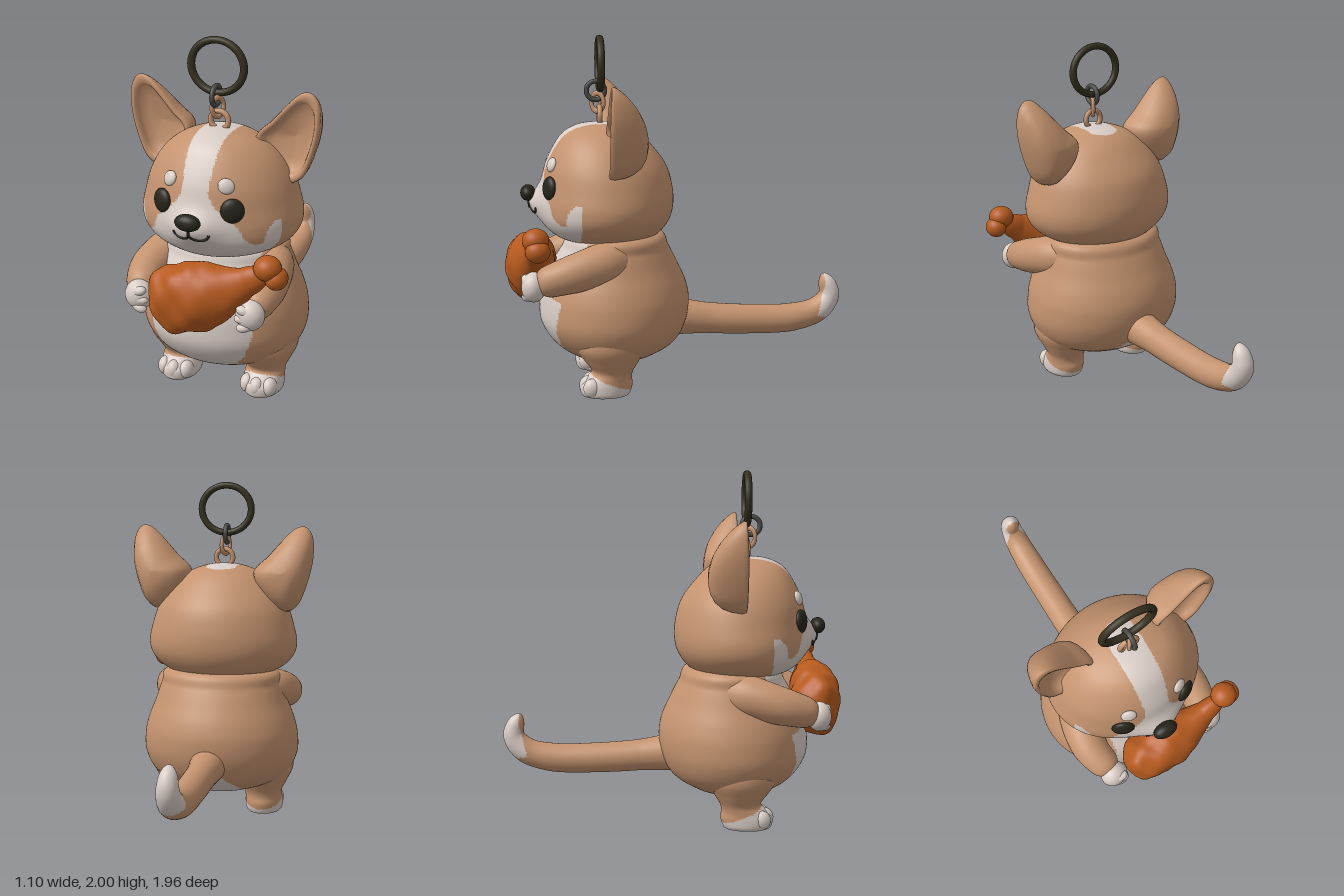
import * as THREE from 'three';

const mat = (name, color) => {
  const m = new THREE.MeshStandardMaterial({ color });
  m.name = name;
  return m;
};
const V = (x, y, z) => new THREE.Vector3(x, y, z);

// Piecewise linear lookup in [[x, y], ...]
function lerpTable(table, x) {
  for (let i = 1; i < table.length; i++) {
    const [x0, y0] = table[i - 1], [x1, y1] = table[i];
    if (x <= x1) return y0 + (y1 - y0) * Math.max(0, (x - x0) / (x1 - x0));
  }
  return table[table.length - 1][1];
}

// Smooth skin over closed rings; pick(centre) chooses the material of each face
function skin(name, rings, materials, pick = () => 0) {
  const n = rings[0].length, pts = rings.flat();
  const lists = materials.map(() => []);
  const face = (a, b, c) => {
    const mid = pts[a].clone().add(pts[b]).add(pts[c]).divideScalar(3);
    lists[pick(mid)].push(a, b, c);
  };
  for (let i = 0; i < rings.length - 1; i++) {
    for (let j = 0; j < n; j++) {
      const k = (j + 1) % n;
      const a = i * n + j, b = a + n, c = (i + 1) * n + k, d = i * n + k;
      face(a, b, c);
      face(a, c, d);
    }
  }
  const geo = new THREE.BufferGeometry().setFromPoints(pts);
  geo.setIndex(lists.flat());
  let start = 0;
  lists.forEach((l, i) => { geo.addGroup(start, l.length, i); start += l.length; });
  geo.computeVertexNormals();
  const mesh = new THREE.Mesh(geo, materials);
  mesh.name = name;
  return mesh;
}

// Upright rings from rows of [y, halfWidth, zBack, zFront], lowest first
function uprightRings(rows, cx, steps, sides) {
  const back = new THREE.CatmullRomCurve3(rows.map(r => V(r[1], r[0], r[2])), false, 'catmullrom');
  const front = new THREE.CatmullRomCurve3(rows.map(r => V(r[1], r[0], r[3])), false, 'catmullrom');
  return Array.from({ length: steps + 1 }, (_, i) => {
    const p = back.getPoint(i / steps), q = front.getPoint(i / steps);
    const c = (p.z + q.z) / 2, d = (q.z - p.z) / 2;
    return Array.from({ length: sides }, (_, j) => {
      const a = j / sides * Math.PI * 2;
      return V(cx + p.x * Math.cos(a), p.y, c + d * Math.sin(a));
    });
  });
}

// Rounded limb rings along a curve; radii are [t, r], cap is the rounded end length
function limbRings(points, radii, cap, steps, sides, squashZ = 1, bump = () => 1) {
  const curve = new THREE.CatmullRomCurve3(points);
  const frames = curve.computeFrenetFrames(400);
  return Array.from({ length: steps + 1 }, (_, i) => {
    const t = (1 - Math.cos(Math.PI * i / steps)) / 2;
    const f = Math.round(t * 400), c = curve.getPointAt(t);
    const e = Math.max(0, 1 - Math.min(t, 1 - t) / cap);
    const r = lerpTable(radii, t) * Math.sqrt(Math.max(0, 1 - e * e));
    return Array.from({ length: sides }, (_, j) => {
      const a = j / sides * Math.PI * 2;
      const o = frames.normals[f].clone().multiplyScalar(Math.cos(a))
        .addScaledVector(frames.binormals[f], -Math.sin(a)).multiplyScalar(r * bump(t, a));
      o.z *= squashZ;
      return o.add(c);
    });
  });
}

// Forward swell of the muzzle
const muzzle = (x, y) => .06 * Math.exp(-((x / .14) ** 2) - ((y - 1.07) / .085) ** 2);

export function createModel() {
  const group = new THREE.Group();
  const tan = mat('tan fur', 0xc4936f), white = mat('white fur', 0xd9cdc6);
  const dark = mat('dark features', 0x26241a), roast = mat('roast meat', 0xb65a1e);
  const steel = mat('grey steel', 0x4b4a46), ringMat = mat('dark ring', 0x35301f);
  const sole = mat('sole', 0x2c2c2c);
  const add = m => { group.add(m); return m; };
  const ball = (name, m, pos, size, rot = [0, 0, 0]) => {
    const b = add(new THREE.Mesh(new THREE.SphereGeometry(1, 24, 16), m));
    b.name = name;
    b.position.set(...pos);
    b.scale.set(...size);
    b.rotation.set(...rot);
  };
  const torus = (name, m, pos, R, r, rotY = 0, sy = 1) => {
    const t = add(new THREE.Mesh(new THREE.TorusGeometry(R, r, 12, 48), m));
    t.name = name;
    t.position.set(...pos);
    t.rotation.y = rotY;
    t.scale.y = sy;
  };

  // Head with blaze, muzzle and cheek markings
  const headRows = [[.83, 0, .4, .4], [.85, .23, .17, .62], [.9, .36, .09, .72], [.97, .43, .04, .77],
    [1.05, .45, .02, .78], [1.15, .43, .025, .77], [1.27, .39, .06, .75], [1.38, .32, .14, .7],
    [1.46, .225, .22, .64], [1.505, .11, .31, .55], [1.52, 0, .43, .43]];
  const cheek = [[0, 1.3], [.07, 1.26], [.1, 1.2], [.17, 1.13], [.235, 1.08], [.26, 1.01], [.3, .975],
    [.335, .98], [.36, 1.06], [.385, 1.1], [.42, 1.1], [.45, .98]];
  const headRings = uprightRings(headRows, 0, 120, 160);
  headRings.flat().forEach(p => { if (p.z > .45) p.z += muzzle(p.x, p.y); });
  add(skin('head', headRings, [tan, white], p => {
    const x = Math.abs(p.x);
    const blaze = p.y > 1.2 && p.z > .27 + 6 * x * x && x < .068 + .02 * Math.max(0, p.y - 1.2) / .3;
    return blaze || (p.z > .56 && p.y < lerpTable(cheek, x)) ? 1 : 0;
  }));

  // Body with white chest, belly and rump patch
  const bodyRows = [[.15, 0, .32, .32], [.155, .15, .2, .5], [.195, .3, .11, .62], [.27, .41, 0, .72],
    [.38, .465, -.055, .785], [.5, .465, -.07, .79], [.6, .44, -.05, .77], [.7, .4, -.005, .72],
    [.8, .365, .045, .66], [.89, .32, .1, .6], [.95, 0, .35, .35]];
  const belly = [[.19, 0], [.2, .1], [.25, .19], [.32, .25], [.42, .29], [.54, .31], [.555, .22], [.7, .22], [.85, .28]];
  add(skin('body', uprightRings(bodyRows, 0, 110, 150), [tan, white], p => {
    const chest = p.z > .42 && Math.abs(p.x) < lerpTable(belly, p.y);
    const rump = p.y < .33 && Math.hypot(p.x / .16, (p.z - .16) / .2) < 1;
    return chest || rump ? 1 : 0;
  }));

  // Tail with pale outer tip
  const tailPath = [V(0, .38, .08), V(0, .36, -.1), V(0, .338, -.4), V(0, .34, -.7), V(0, .385, -.85),
    V(0, .47, -.915), V(0, .6, -.88)];
  const tailR = [[0, .12], [.13, .1], [.22, .09], [.65, .083], [.8, .073], [.9, .06], [1, .04]];
  const tip = [[.34, -.9], [.36, -.83], [.44, -.855], [.55, -.885], [.6, -.88]];
  add(skin('tail', limbRings(tailPath, tailR, .06, 90, 44), [tan, white],
    p => p.z < lerpTable(tip, p.y) ? 1 : 0));

  // Rings of an ear from the back dome, over the rim, into the hollow: [scale, depth]
  const earSteps = [[0, -.2], [.3, -.197], [.55, -.185], [.75, -.158], [.88, -.118], [.96, -.068], [1, -.012],
    [.975, .012], [.9, .017], [.82, .01], [.77, -.012], [.73, -.035], [.5, -.055], [0, -.065]];
  const earOutline = new THREE.CatmullRomCurve3([V(.495, 1.742, 0), V(.535, 1.7, 0), V(.548, 1.58, 0),
    V(.51, 1.4, 0), V(.45, 1.27, 0), V(.38, 1.235, 0), V(.26, 1.32, 0), V(.19, 1.47, 0),
    V(.28, 1.57, 0), V(.4, 1.7, 0), V(.45, 1.737, 0)], true).getSpacedPoints(64).slice(0, 64);

  const legRows = [[0, .1, .3, .565], [.02, .112, .29, .575], [.06, .114, .28, .575], [.1, .112, .285, .54],
    [.14, .115, .275, .51], [.2, .145, .24, .55], [.28, .18, .2, .6], [.36, .17, .22, .58], [.42, .1, .3, .5]];

  for (const s of [1, -1]) {
    const side = s > 0 ? 'left' : 'right';

    const earRings = earSteps.map(([k, d]) => {
      const ring = earOutline.map(p => {
        const x = .39 + (p.x - .39) * k, y = 1.48 + (p.y - 1.48) * k;
        const thin = 1 - .65 * (Math.max(0, y - 1.4) / .34) ** 2;
        return V(s * x, y, .395 + d * thin);
      });
      return s > 0 ? ring : ring.reverse();
    });
    add(skin(side + 'Ear', earRings, [tan]));

    // Face details
    ball(side + 'Eye', dark, [s * .2, 1.17, .726], [.063, .066, .03], [-.08, s * .45, 0]);
    ball(side + 'BrowSpot', white, [s * .16, 1.295, .712], [.044, .04, .02], [-.35, s * .4, -s * .4]);
    const lip = Array.from({ length: 13 }, (_, i) => {
      const a = Math.PI * (1 + i / 12);
      const x = s * .05 + .05 * Math.cos(a), y = 1.05 + .036 * Math.sin(a);
      return V(x, y, .4 + .38 * Math.sqrt(1 - (x / .45) ** 2) + muzzle(x, y));
    });
    const mouth = add(new THREE.Mesh(new THREE.TubeGeometry(new THREE.CatmullRomCurve3(lip), 24, .007, 8), dark));
    mouth.name = side + 'Mouth';

    // Leg, toes and sole
    const lx = s * .257;
    add(skin(side + 'Leg', uprightRings(legRows, lx, 44, 48), [tan, white],
      p => p.y < .035 + .42 * (p.z - .3) && p.y < .13 ? 1 : 0));
    for (const k of [-1, 0, 1]) {
      ball(side + 'Toe', white, [lx + k * .066, .055, .53 - Math.abs(k) * .02], [.042, .055, .052]);
    }
    const pad = add(new THREE.Mesh(new THREE.CylinderGeometry(1, 1, .006, 40), sole));
    pad.name = side + 'Sole';
    pad.position.set(lx, .003, .432);
    pad.scale.set(.1, 1, .132);

    // Arm, paw and fingers
    const hx = s > 0 ? .34 : -.305;
    add(skin(side + 'Arm', limbRings([V(s * .13, .75, .2), V(s * .29, .765, .4), V(s * .35, .715, .62),
      V(hx, .655, .82)], [[0, .09], [.4, .12], [.7, .105], [1, .078]], .12, 36, 32), [tan]));
    ball(side + 'Paw', white, [hx, .65, .825], [.08, .083, .068]);
    for (const k of [-1, 0, 1]) {
      ball(side + 'Finger', white, [hx - s * (.025 - Math.abs(k) * .01), .64 + k * .045, .858],
        [.048, .028, .032], [0, s * .3, -s * k * .3]);
    }
  }

  // Nose
  ball('nose', dark, [0, 1.118, .845], [.072, .046, .043]);
  ball('noseLine', dark, [0, 1.065, .838], [.008, .035, .01]);

  // Roast drumstick with a knobbly end
  const bump = (t, a) => 1 + Math.max(0, 1 - t * 1.2) *
    (.04 * Math.sin(3 * a + 9 * t) + .04 * Math.sin(5 * a - 17 * t) + .035 * Math.sin(4 * a + 37 * t));
  add(skin('drumstick', limbRings([V(-.22, .63, .825), V(0, .695, .835), V(.2, .77, .825), V(.44, .905, .81)],
    [[0, .17], [.15, .18], [.28, .19], [.42, .19], [.55, .162], [.68, .115], [.8, .078], [1, .062]],
    .17, 70, 56, .76, bump), [roast]));
  ball('boneKnobUpper', roast, [.43, .925, .81], [.074, .066, .073]);
  ball('boneKnobLower', roast, [.475, .872, .8], [.06, .06, .068]);

  // Hanging loop, chain links and key ring
  torus('headLoop', tan, [0, 1.55, .435], .051, .015);
  torus('chainLink', tan, [-.005, 1.625, .445], .038, .012, 1.05, 1.35);
  torus('steelLink', steel, [-.01, 1.69, .455], .052, .014, Math.PI / 2);
  torus('keyRing', ringMat, [-.012, 1.84, .43], .151, .021, 0, .93);
  return group;
}
